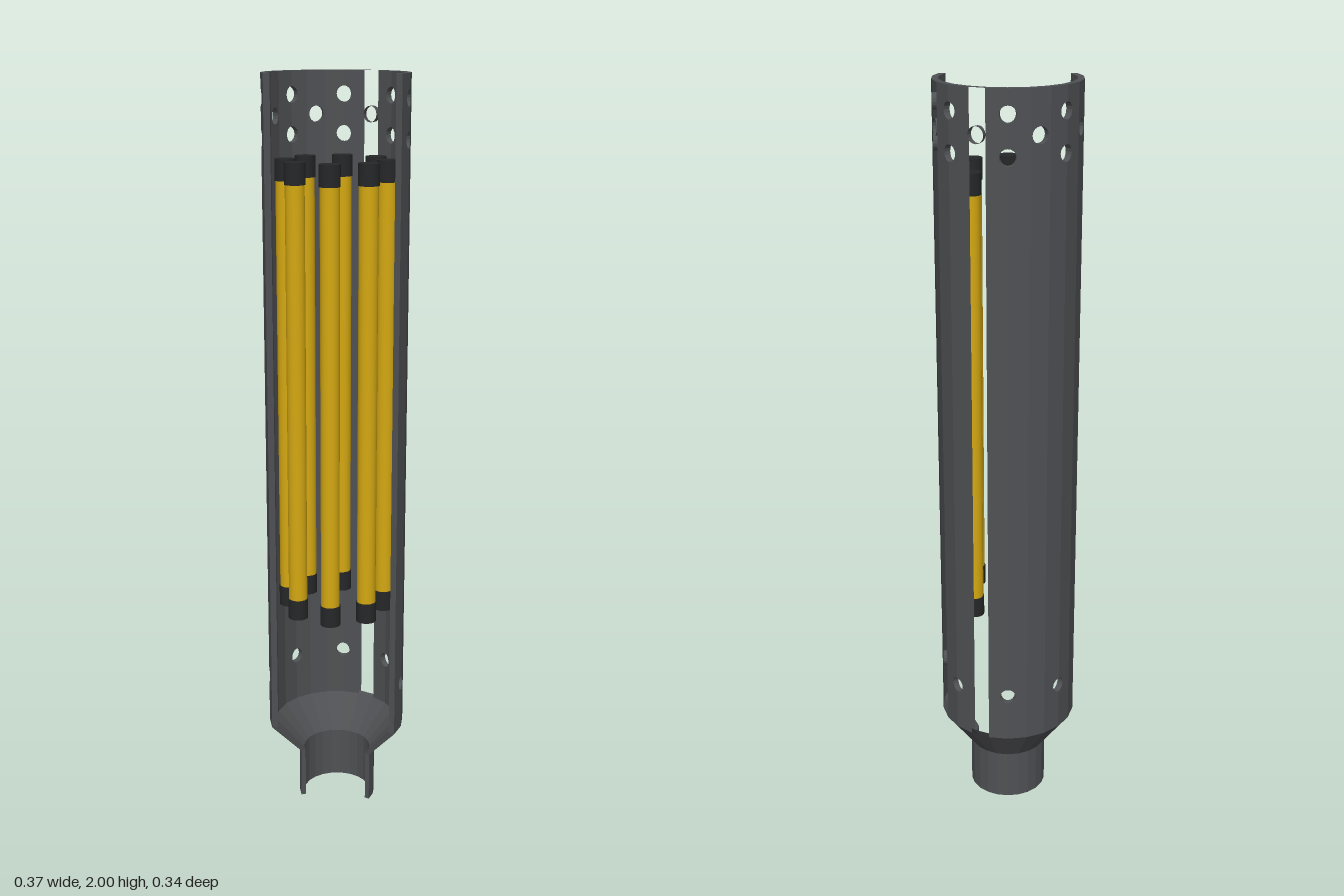
import * as THREE from 'three';
import { ParametricGeometry } from 'three/addons/geometries/ParametricGeometry.js';

const N = 7;                               // shell panels on each side of the back
const STEP = THREE.MathUtils.degToRad(114.4) / N;
const W = 0.0532;                          // width of one panel
const HOLE = 0.021;
const CZ = 0.015;                          // axis of the rods and the upper shell
// Shell sections: height, outer radius, inner radius, centre z
const SECTIONS = [[0, 0.106, 0.093, -0.002], [0.14, 0.106, 0.093, -0.002], [0.235, 0.187, 0.17, CZ], [2, 0.187, 0.17, CZ]];

// Point on the shell: a counts panels from the back, t runs from outside (0) to inside (1)
function shellPoint(a, y, t, target) {
  let k = 0;
  while (k < 2 && y > SECTIONS[k + 1][0]) k++;
  const [lo, hi] = [SECTIONS[k], SECTIONS[k + 1]];
  const s = (y - lo[0]) / (hi[0] - lo[0]);
  const mix = (j) => THREE.MathUtils.lerp(lo[j], hi[j], s);
  const r = THREE.MathUtils.lerp(mix(1), mix(2), t);
  const i = Math.floor(a), f = a - i;
  const x = r * THREE.MathUtils.lerp(Math.sin(i * STEP), Math.sin((i + 1) * STEP), f);
  const z = r * THREE.MathUtils.lerp(Math.cos(i * STEP), Math.cos((i + 1) * STEP), f);
  return target.set(x, y, mix(3) - z);
}

// Bend a flat geometry (x along the arc, y up, z through the wall) onto the shell
function bend(geometry) {
  const p = geometry.attributes.position, v = new THREE.Vector3();
  for (let i = 0; i < p.count; i++) {
    shellPoint(p.getX(i) / W, p.getY(i), p.getZ(i), v);
    p.setXYZ(i, v.x, v.y, v.z);
  }
  geometry.computeVertexNormals();
  return geometry;
}

function arc(x, y, from, to, count) {
  return Array.from({ length: count + 1 }, (_, i) => {
    const q = from + (to - from) * i / count;
    return new THREE.Vector2(x + HOLE * Math.cos(q), y + HOLE * Math.sin(q));
  });
}

const EDGE_ROWS = [0.37, 1.84, 1.94];      // holes centred on panel edges
const MID_ROW = 1.89;                      // holes centred on panels
const hasEdgeHoles = (a) => a % 3 === 0;
const hasMidHole = (i) => [1.5, 4.5].includes(Math.abs(i + 0.5));

// Flat outline of one panel, with half holes on its edges
function panelShape(i) {
  const x0 = i * W, x1 = (i + 1) * W, H = Math.PI / 2;
  const pts = [new THREE.Vector2(x0, 0.235), new THREE.Vector2(x1, 0.235)];
  if (hasEdgeHoles(i + 1)) for (const y of EDGE_ROWS) pts.push(...arc(x1, y, 3 * H, H, 8));
  pts.push(new THREE.Vector2(x1, 2), new THREE.Vector2(x0, 2));
  if (hasEdgeHoles(i)) for (const y of [...EDGE_ROWS].reverse()) pts.push(...arc(x0, y, H, -H, 8));
  const shape = new THREE.Shape(pts);
  if (hasMidHole(i)) shape.holes.push(new THREE.Path(arc((i + 0.5) * W, MID_ROW, 0, -4 * H, 16).slice(0, 16)));
  return shape;
}

export function createModel() {
  const model = new THREE.Group();
  const metal = new THREE.MeshStandardMaterial({ color: 0x505154, flatShading: true, side: THREE.DoubleSide });
  const yellow = new THREE.MeshStandardMaterial({ color: 0xd4a812 });
  const black = new THREE.MeshStandardMaterial({ color: 0x262728 });
  const add = (parent, name, geometry, material) => {
    const mesh = new THREE.Mesh(geometry, material);
    mesh.name = name;
    parent.add(mesh);
    return mesh;
  };

  const shell = new THREE.Group();
  shell.name = 'shell';
  model.add(shell);

  // Wall panels, outside and inside; two panels on the left are open windows
  for (let i = -N; i < N; i++) {
    if (i > 0 && hasMidHole(i)) continue;
    for (const t of [0, 1]) {
      add(shell, t ? 'innerPanel' : 'outerPanel', bend(new THREE.ShapeGeometry(panelShape(i)).translate(0, 0, t)), metal);
    }
  }

  // Rims of the vent holes
  const rim = (a, y) => {
    const g = new THREE.CylinderGeometry(HOLE, HOLE, 1, 16, 1, true).rotateX(Math.PI / 2).translate(a * W, y, 0.5);
    add(shell, 'holeRim', bend(g), metal);
  };
  for (const a of [-6, -3, 0, 3, 6]) for (const y of EDGE_ROWS) rim(a, y);
  for (const a of [-4.5, -1.5, 1.5, 4.5]) rim(a, MID_ROW);

  // Taper and neck, outside and inside
  const sheet = (name, fn, slices, stacks) => add(shell, name, new ParametricGeometry(fn, slices, stacks), metal);
  const across = (u) => Math.round((u * 2 - 1) * N);
  const level = (v, count) => SECTIONS[Math.round(v * count)][0];
  for (const t of [0, 1]) {
    sheet(t ? 'innerNeck' : 'outerNeck', (u, v, p) => shellPoint(across(u), level(v, 2), t, p), 2 * N, 2);
  }
  // Top and bottom edges
  for (const y of [0, 2]) {
    sheet(y ? 'topEdge' : 'bottomEdge', (u, v, p) => shellPoint(across(u), y, v, p), 2 * N, 1);
  }
  // Cut faces along the open front
  for (const a of [-N, N]) {
    sheet('cutEdge', (u, v, p) => shellPoint(a, level(v, 3), u, p), 1, 3);
  }

  // Ring of eight capped rods
  for (let i = 0; i < 8; i++) {
    const q = i * Math.PI / 4;
    const rod = new THREE.Group();
    rod.name = 'rod';
    rod.position.set(0.13 * Math.sin(q), 0, CZ + 0.13 * Math.cos(q));
    add(rod, 'rodBody', new THREE.CylinderGeometry(0.025, 0.025, 1.1, 20, 1, true), yellow).position.y = 1.185;
    for (const y of [0.608, 1.762]) {
      add(rod, 'rodCap', new THREE.CylinderGeometry(0.027, 0.027, 0.055, 20), black).position.y = y;
    }
    model.add(rod);
  }
  return model;
}
